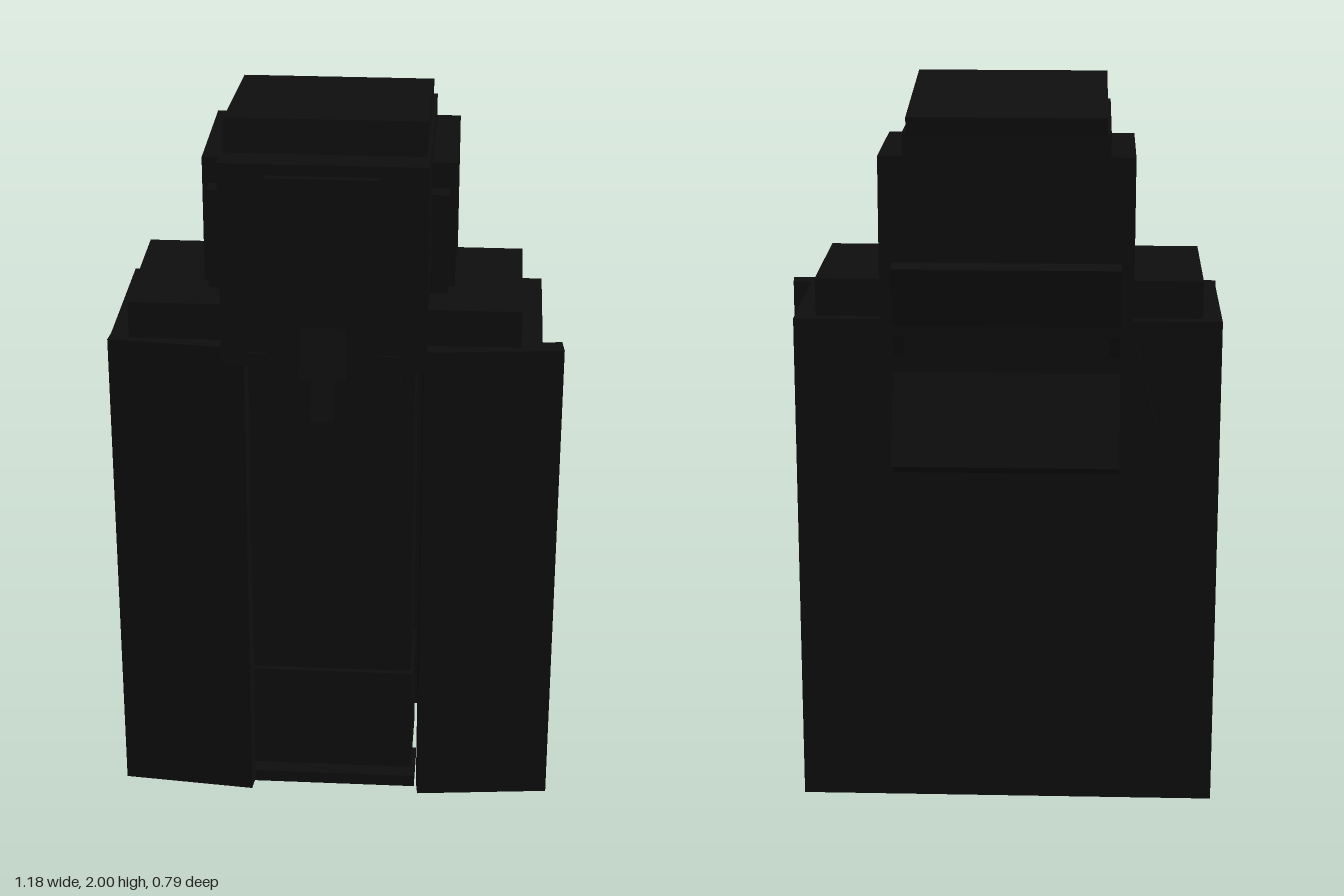
import * as THREE from 'three';

export function createModel() {
  const model = new THREE.Group();
  const black = new THREE.MeshStandardMaterial({ color: 0x0e0e0e });
  black.name = 'black cloth';
  const CX = -0.03; // centre line of the figure

  // box given by its limits
  function span(name, x0, x1, y0, y1, z0, z1) {
    return block(name, x1 - x0, y1 - y0, z1 - z0, (x0 + x1) / 2, (y0 + y1) / 2, (z0 + z1) / 2);
  }
  // box given by size, centre and rotation
  function block(name, w, h, d, x, y, z, rx = 0, ry = 0, rz = 0) {
    const mesh = new THREE.Mesh(new THREE.BoxGeometry(w, h, d), black);
    mesh.name = name;
    mesh.position.set(x, y, z);
    mesh.rotation.set(rx, ry, rz);
    model.add(mesh);
    return mesh;
  }

  // inner figure
  span('legs', -0.26, 0.2, 0, 0.7, -0.08, 0.15);
  span('torso', -0.26, 0.2, 0.7, 1.4, -0.08, 0.16);
  span('jacket', -0.235, 0.19, 0.9, 1.38, 0.1, 0.18);
  span('boots', -0.265, 0.205, 0.06, 0.37, -0.08, 0.165);
  span('shoeTips', -0.275, 0.215, 0.015, 0.05, 0.05, 0.195);

  // cloak, open at the bottom and down the front
  span('cloakBack', -0.59, 0.53, 0.06, 1.41, -0.225, -0.175);
  span('cloakTop', -0.59, 0.53, 1.36, 1.41, -0.225, 0.25);
  span('cloakRightSide', -0.59, -0.54, 0.06, 1.41, -0.225, 0.25);
  span('cloakLeftSide', 0.48, 0.53, 0.06, 1.41, -0.225, 0.25);
  block('cloakRightFront', 0.36, 1.35, 0.055, -0.412, 1.41 - 0.675, 0.255, 0, -0.1);
  block('cloakLeftFront', 0.36, 1.35, 0.055, 0.404, 1.41 - 0.675, 0.25, 0, 0.1);
  span('shoulders', -0.54, 0.475, 1.38, 1.51, -0.19, 0.25);

  // head and hood
  span('hood', -0.295, 0.235, 1.36, 1.91, -0.29, 0.3);
  span('hoodNape', -0.295, 0.235, 1.22, 1.45, -0.29, -0.2);
  block('hoodCap', 0.51, 0.16, 0.51, CX, 1.895, -0.033, -0.098);
  span('hoodFront', -0.175, 0.11, 1.5, 1.88, 0.28, 0.32);
  block('hoodCollar', 0.59, 0.25, 0.04, CX, 1.45, -0.28, -0.25);
  block('hoodTail', 0.59, 0.25, 0.113, CX, 1.15, -0.29, 0.42);

  // mask with drooping beak
  span('chinPlate', -0.225, 0.165, 1.29, 1.4, 0.2, 0.305);
  span('mask', -0.175, 0.11, 1.38, 1.56, 0.2, 0.32);
  block('beakBase', 0.117, 0.14, 0.07, CX, 1.41, 0.305, -0.3);
  block('beak', 0.056, 0.25, 0.058, CX, 1.363, 0.331, -0.335);

  // paired details
  for (const s of [-1, 1]) {
    block('hoodSide', 0.07, 0.47, 0.38, CX + s * 0.293, 1.615, -0.1);
    block('hoodSideTrim', 0.06, 0.36, 0.05, CX + s * 0.282, 1.6, 0.115);
    block('hangingTab', 0.06, 0.26, 0.06, CX + s * 0.33, 1.26, -0.23, 0, 0, s * 0.25);
    block('backRibbon', 0.12, 0.83, 0.05, CX + s * 0.18, 0.715, -0.235);
  }
  return model;
}
